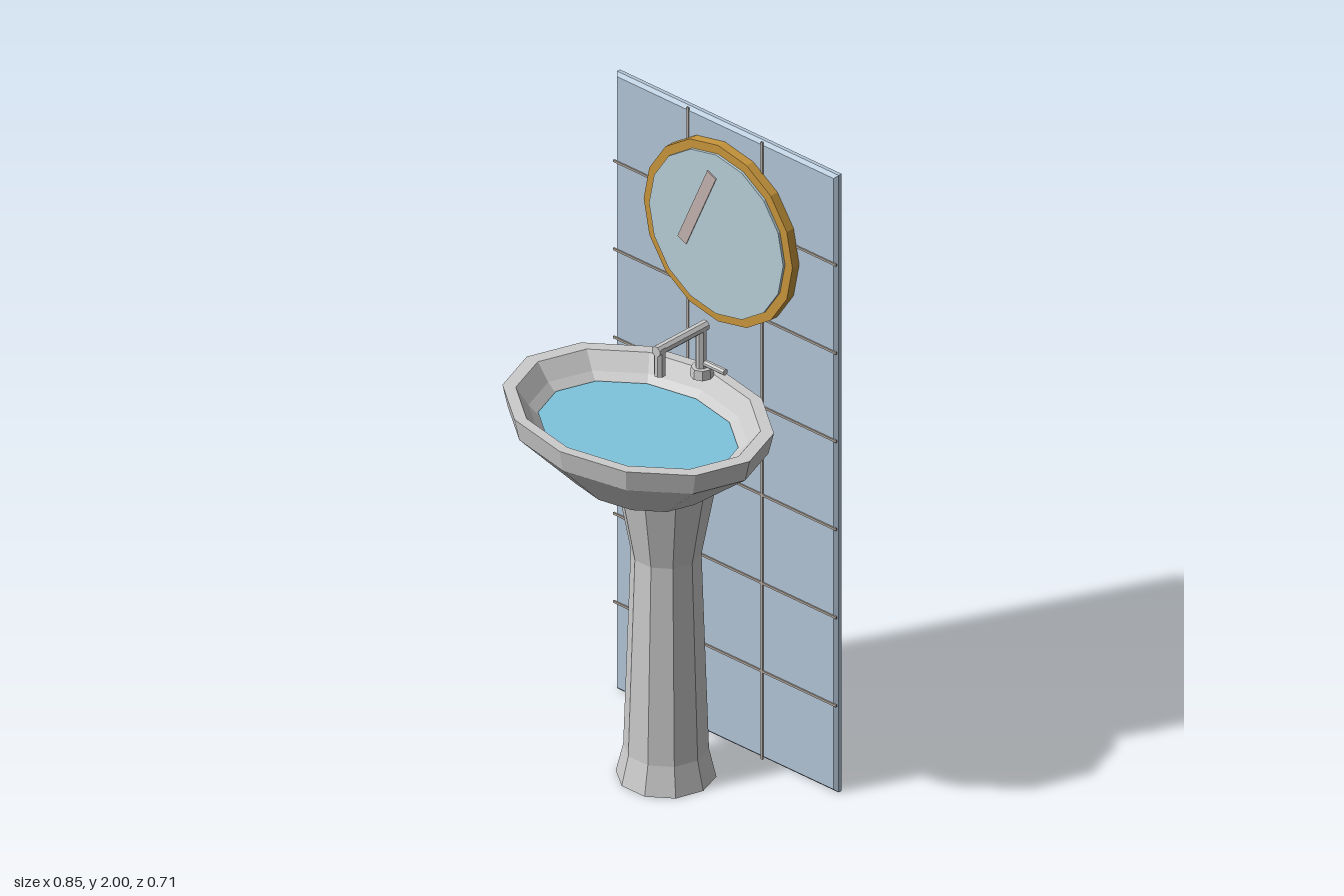
import * as THREE from 'three';

const mat = (color) => new THREE.MeshStandardMaterial({ color, flatShading: true });

export function createModel() {
  const model = new THREE.Group();
  model.name = 'pedestalSink';
  const ceramic = mat(0xcccccc);
  const tile = mat(0xb3c6d8);
  const grout = mat(0xb0a69c);
  const gold = mat(0xc8963c);
  const glass = mat(0xb8d0d8);
  const glare = mat(0xc4b4b0);
  const water = mat(0x7fc4dc);

  const add = (name, geometry, material, x = 0, y = 0, z = 0, parent = model) => {
    const mesh = new THREE.Mesh(geometry, material);
    mesh.name = name;
    mesh.position.set(x, y, z);
    parent.add(mesh);
    return mesh;
  };

  // Tiled wall panel with chamfered edges
  const c = 0.01, w = 0.425 - c, h = 1 - c;
  const outline = new THREE.Shape([
    new THREE.Vector2(-w, -h), new THREE.Vector2(w, -h),
    new THREE.Vector2(w, h), new THREE.Vector2(-w, h),
  ]);
  const panel = new THREE.ExtrudeGeometry(outline, {
    depth: 0.012, bevelEnabled: true, bevelThickness: c, bevelSize: c, bevelSegments: 1,
  });
  add('wallPanel', panel, tile, 0, 1, -0.347);

  // Grout lines
  const lines = new THREE.Group();
  lines.name = 'groutLines';
  model.add(lines);
  for (let i = 1; i < 7; i++) {
    add('groutRow', new THREE.BoxGeometry(0.854, 0.007, 0.005), grout, 0, i * 2 / 7, -0.3235, lines);
  }
  for (const x of [-0.142, 0.142]) {
    add('groutColumn', new THREE.BoxGeometry(0.007, 2, 0.005), grout, x, 1, -0.3235, lines);
  }

  // Round mirror with a sixteen-sided frame and a slanted highlight
  const disc = (r, depth) => new THREE.CylinderGeometry(r, r, depth, 16).rotateX(Math.PI / 2);
  add('mirrorFrame', disc(0.285, 0.028), gold, 0, 1.66, -0.309);
  add('mirrorGlass', disc(0.257, 0.008), glass, 0, 1.66, -0.291);
  const streak = add('mirrorHighlight', new THREE.BoxGeometry(0.036, 0.28, 0.003), glare, -0.072, 1.72, -0.2855);
  streak.rotation.z = -0.42;

  // Oval basin: outer wall, flat rim and hollow bowl
  const profile = [
    [0, 1.005], [0.215, 1.005], [0.41, 1.162], [0.427, 1.23],
    [0.385, 1.23], [0.345, 1.18], [0.18, 1.035], [0, 1.035],
  ].map(([r, y]) => new THREE.Vector2(r, y));
  const oval = 0.755;
  add('basin', new THREE.LatheGeometry(profile, 12), ceramic, 0, 0, 0.0325).scale.z = oval;
  const surface = new THREE.CircleGeometry(0.315, 12).rotateX(-Math.PI / 2);
  add('water', surface, water, 0, 1.162, 0.0325).scale.z = oval;

  // Ten-sided pedestal with flared foot and top
  const column = [[0, 0], [0.142, 0], [0.121, 0.09], [0.1, 0.72], [0.155, 1.018], [0, 1.018]]
    .map(([r, y]) => new THREE.Vector2(r, y));
  add('pedestal', new THREE.LatheGeometry(column, 10, Math.PI / 2), ceramic, 0, 0, -0.082);

  // Tap: collar, riser, arm, spout and side lever
  const tap = new THREE.Group();
  tap.name = 'tap';
  model.add(tap);
  const pipe = (length, r = 0.0165) =>
    new THREE.CylinderGeometry(r, r, length, 8, 1, false, Math.PI / 8);
  add('tapCollar', new THREE.CylinderGeometry(0.031, 0.034, 0.03, 8), ceramic, 0, 1.243, -0.229, tap);
  add('tapRiser', pipe(0.14), ceramic, 0, 1.32, -0.226, tap);
  add('tapArm', pipe(0.204).rotateX(Math.PI / 2), ceramic, 0, 1.385, -0.142, tap);
  add('tapSpout', pipe(0.09), ceramic, 0, 1.348, -0.056, tap);
  add('tapLever', pipe(0.085, 0.01).rotateZ(Math.PI / 2), ceramic, 0.048, 1.274, -0.228, tap);

  return model;
}
